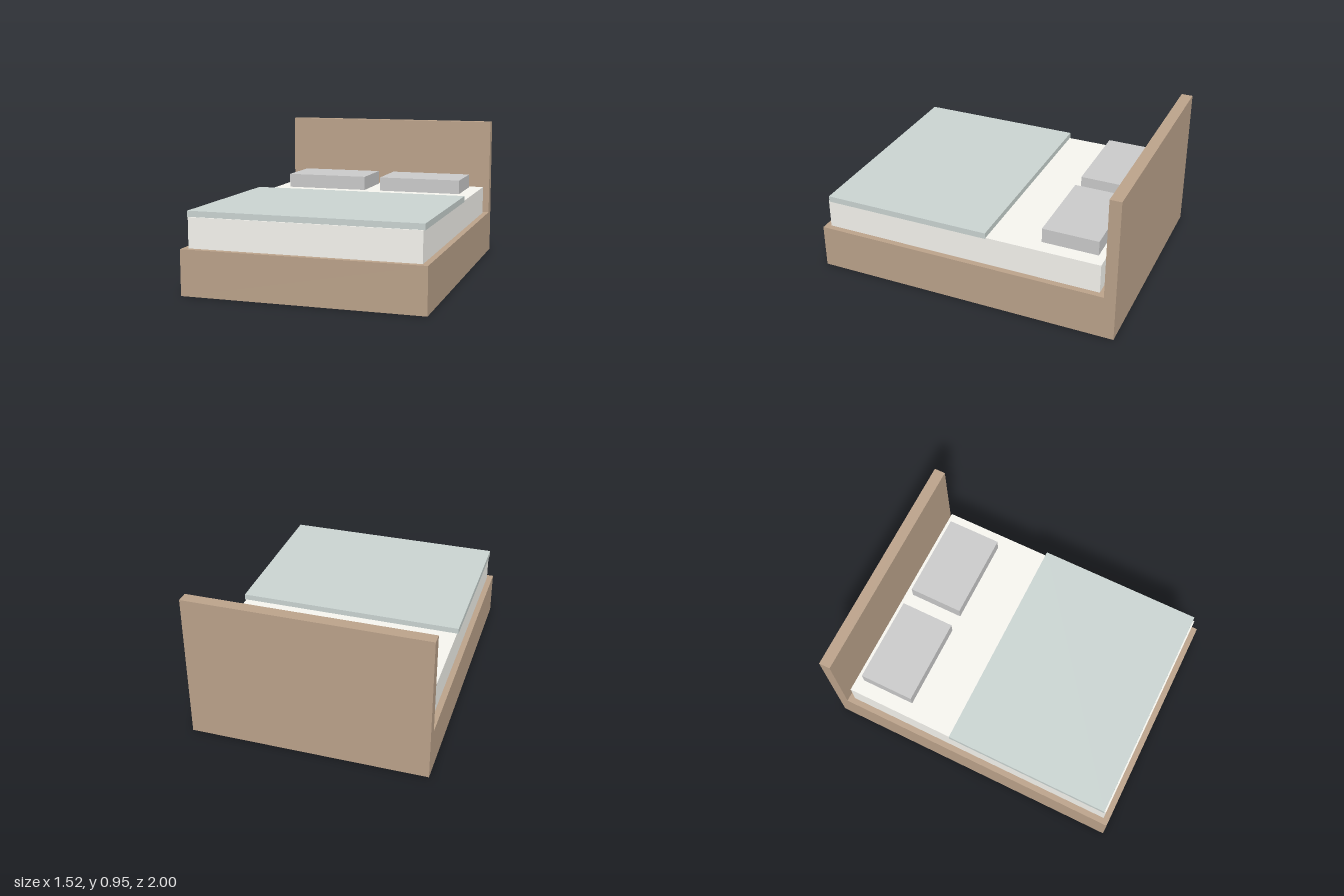
import * as THREE from 'three';

const material = (color) => new THREE.MeshStandardMaterial({ color });

// Box given by its [min, max] extents on each axis
function block(name, mat, [x0, x1], [y0, y1], [z0, z1]) {
  const mesh = new THREE.Mesh(new THREE.BoxGeometry(x1 - x0, y1 - y0, z1 - z0), mat);
  mesh.position.set((x0 + x1) / 2, (y0 + y1) / 2, (z0 + z1) / 2);
  mesh.name = name;
  return mesh;
}

export function createModel() {
  const bed = new THREE.Group();
  bed.name = 'bed';
  const wood = material(0xbca38b);
  const linen = material(0xf7f6f0);
  const cloth = material(0xcbd5d2);
  const grey = material(0xcccccc);

  // Wooden base and headboard
  bed.add(block('base', wood, [-0.762, 0.762], [0, 0.288], [-0.926, 1]));
  bed.add(block('headboard', wood, [-0.762, 0.762], [0, 0.953], [-1, -0.926]));

  // Mattress and the blanket that slightly overhangs its sides
  bed.add(block('mattress', linen, [-0.724, 0.724], [0.288, 0.479], [-0.888, 0.962]));
  bed.add(block('blanket', cloth, [-0.733, 0.733], [0.477, 0.516], [-0.15, 0.952]));

  // Pair of pillows
  bed.add(block('leftPillow', grey, [0.057, 0.629], [0.479, 0.574], [-0.84, -0.478]));
  bed.add(block('rightPillow', grey, [-0.629, -0.057], [0.479, 0.574], [-0.84, -0.478]));

  return bed;
}
